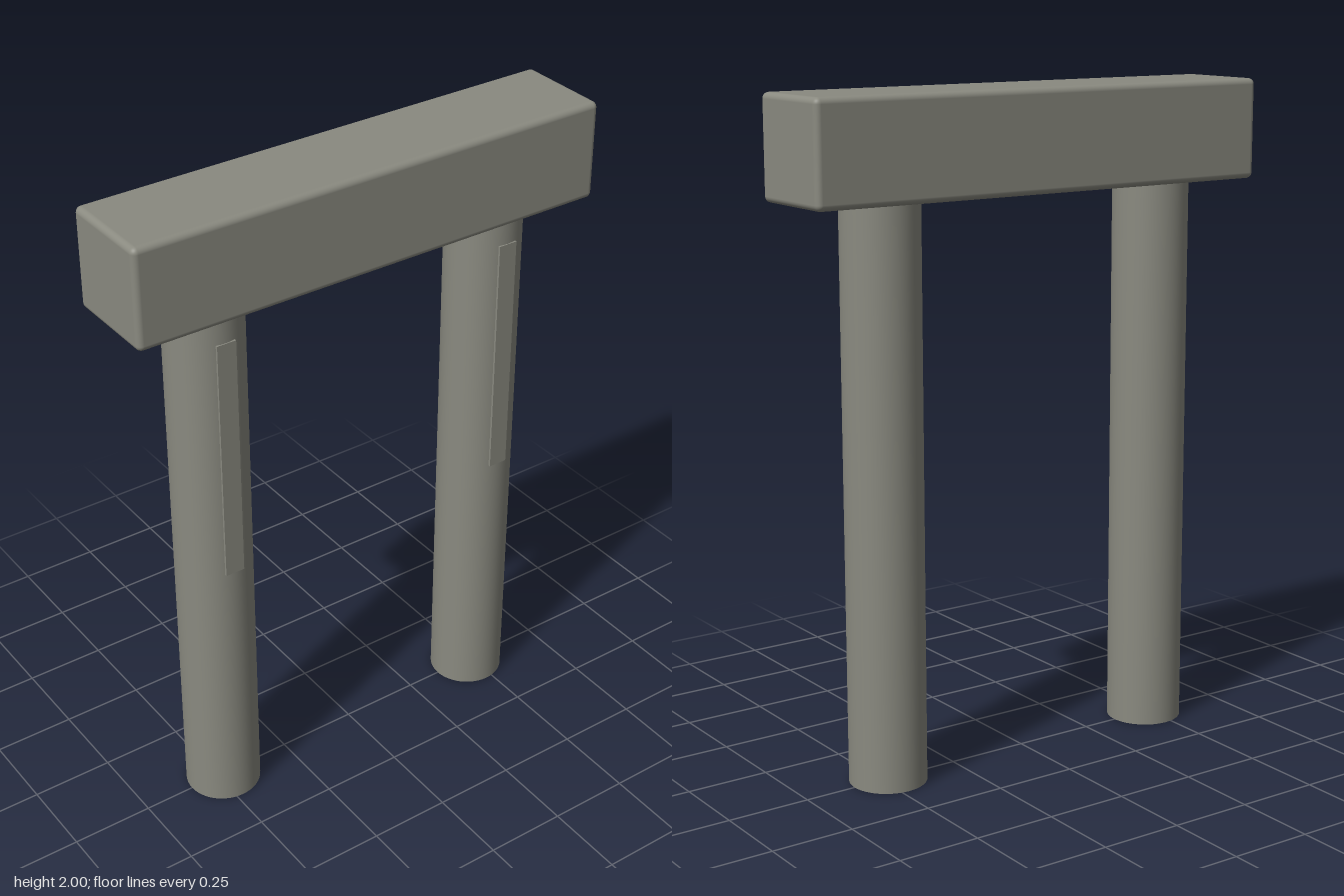
import * as THREE from 'three';
import { RoundedBoxGeometry } from 'three/addons/geometries/RoundedBoxGeometry.js';

export function createModel() {
  const model = new THREE.Group();
  model.name = 'postAndBeam';

  const stone = new THREE.MeshStandardMaterial({ color: 0x8a8a80 });
  stone.name = 'greyStone';

  const add = (name, geometry, x, y, z) => {
    const mesh = new THREE.Mesh(geometry, stone);
    mesh.name = name;
    mesh.position.set(x, y, z);
    model.add(mesh);
  };

  // Softly rounded beam lying across both posts
  add('beam', new RoundedBoxGeometry(0.3, 0.3, 1.52, 4, 0.018), 0, 1.85, 0);

  // Round posts, each with a thin raised strip on its left (+x) side
  const postRadius = 0.115;
  const postGeometry = new THREE.CylinderGeometry(postRadius, postRadius, 1.71, 48);
  const stripGeometry = new THREE.BoxGeometry(0.009, 0.76, 0.06);
  for (const [side, sign] of [['front', 1], ['back', -1]]) {
    const z = sign * 0.478;
    add(side + 'Post', postGeometry, 0, 0.855, z);
    add(side + 'Strip', stripGeometry, 0.1135, 1.24, z);
  }

  return model;
}
